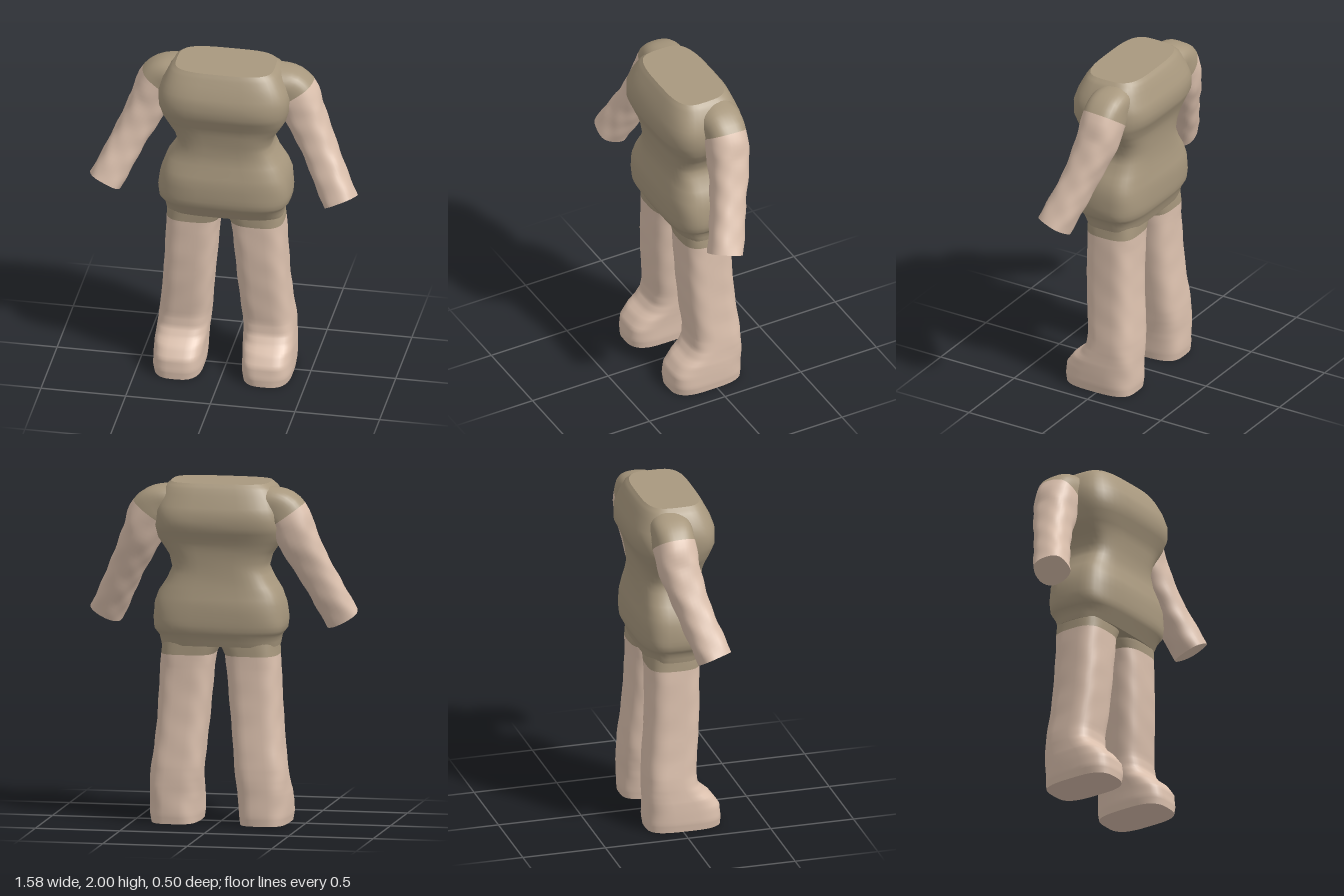
import * as THREE from 'three';

const N = 40;
const cloth = new THREE.MeshStandardMaterial({ color: 0xa8987e });
cloth.name = 'olive cloth';
const skin = new THREE.MeshStandardMaterial({ color: 0xdcc1ae });
skin.name = 'pale skin';

// point on a rounded-box outline with half sizes 1
function outline(a, n) {
  const c = Math.cos(a), s = Math.sin(a);
  return [Math.sign(c) * Math.abs(c) ** (2 / n), Math.sign(s) * Math.abs(s) ** (2 / n)];
}

// small uneven swelling of the hand-moulded surface
const lump = (a, t, amount) =>
  1 + amount * (Math.sin(3 * a + 9 * t) * Math.sin(23 * t) + 0.6 * Math.sin(5 * a - 31 * t));

// skin a list of rings (arrays of Vector3), with flat caps where asked
function loft(rings, side, capStart, capEnd) {
  const pos = [], index = [];
  const put = (p) => pos.push(p.x * side, p.y, p.z) / 3 - 1;
  const tri = (a, b, c) => (side > 0 ? index.push(a, b, c) : index.push(a, c, b));
  rings.forEach((ring) => ring.forEach(put));
  for (let i = 0; i < rings.length - 1; i++) {
    for (let j = 0; j < N; j++) {
      const k = (j + 1) % N, a = i * N + j, b = i * N + k;
      tri(a, b, a + N);
      tri(b, b + N, a + N);
    }
  }
  const cap = (ring, flip) => {
    const mid = ring.reduce((m, p) => m.add(p), new THREE.Vector3()).divideScalar(N);
    const c = put(mid), first = pos.length / 3;
    ring.forEach(put);
    for (let j = 0; j < N; j++) {
      const a = first + j, b = first + ((j + 1) % N);
      if (flip) tri(c, b, a); else tri(c, a, b);
    }
  };
  if (capStart) cap(rings[0], true);
  if (capEnd) cap(rings[rings.length - 1], false);
  const g = new THREE.BufferGeometry();
  g.setAttribute('position', new THREE.Float32BufferAttribute(pos, 3));
  g.setIndex(index);
  g.computeVertexNormals();
  return g;
}

// rings from rows of [y, xMin, xMax, zBack, zFront], top to bottom, subdivided
function stack(rows, n, amount, steps) {
  const rings = [];
  for (let i = 0; i < rows.length - 1; i++) {
    for (let s = i ? 1 : 0; s <= steps; s++) {
      const [y, x0, x1, z0, z1] = rows[i].map((v, k) => THREE.MathUtils.lerp(v, rows[i + 1][k], s / steps));
      rings.push(Array.from({ length: N }, (_, j) => {
        const a = (j / N) * Math.PI * 2, [u, w] = outline(a, n), f = lump(a, y, amount);
        return new THREE.Vector3((x0 + x1) / 2 + u * f * (x1 - x0) / 2, y, (z0 + z1) / 2 + w * f * (z1 - z0) / 2);
      }));
    }
  }
  return rings;
}

// rings square to a curve, between two fractions of its length
function sweep(curve, from, to, count, radius) {
  return Array.from({ length: count + 1 }, (_, i) => {
    const t = from + ((to - from) * i) / count;
    const c = curve.getPointAt(t), d = curve.getTangentAt(t);
    const u = new THREE.Vector3().crossVectors(d, new THREE.Vector3(0, 0, 1)).normalize();
    const v = new THREE.Vector3().crossVectors(d, u);
    return Array.from({ length: N }, (_, j) => {
      const a = (j / N) * Math.PI * 2, [p, q] = outline(a, 2.5);
      const r = radius(t) * lump(a, t, 0.022);
      return c.clone().addScaledVector(u, p * r).addScaledVector(v, q * r);
    });
  });
}

export function createModel() {
  const model = new THREE.Group();
  model.name = 'headlessFigure';
  const add = (name, geometry, material) => {
    const mesh = new THREE.Mesh(geometry, material);
    mesh.name = name;
    model.add(mesh);
  };

  // tunic: chest, waist and hips, as [y, half width, back, front]
  const torso = [
    [2.0, 0.29, -0.165, 0.17], [1.97, 0.325, -0.19, 0.19], [1.9, 0.365, -0.22, 0.225],
    [1.83, 0.385, -0.247, 0.25], [1.75, 0.385, -0.247, 0.25], [1.68, 0.365, -0.215, 0.22],
    [1.63, 0.335, -0.198, 0.2], [1.57, 0.295, -0.19, 0.19], [1.5, 0.277, -0.187, 0.182],
    [1.43, 0.31, -0.19, 0.182], [1.36, 0.355, -0.2, 0.197], [1.29, 0.38, -0.213, 0.213],
    [1.2, 0.39, -0.215, 0.215], [1.14, 0.384, -0.21, 0.21], [1.1, 0.354, -0.19, 0.187],
    [1.045, 0.344, -0.172, 0.155],
  ].map(([y, w, b, f]) => [y, -w, w, b, f]);
  add('tunic', loft(stack(torso, 3.6, 0.004, 2), 1, true, true), cloth);

  // legs with moulded feet, as [y, inner x, outer x, back, front]
  const cuff = [[1.1, 0, 0.335, -0.163, 0.145], [1.05, 0.003, 0.34, -0.165, 0.145], [0.99, 0.032, 0.345, -0.165, 0.141]];
  const leg = [
    cuff[2], [0.9, 0.044, 0.35, -0.163, 0.14], [0.75, 0.058, 0.358, -0.166, 0.137],
    [0.6, 0.072, 0.367, -0.173, 0.13], [0.45, 0.086, 0.38, -0.187, 0.118],
    [0.34, 0.096, 0.395, -0.197, 0.106], [0.27, 0.102, 0.403, -0.199, 0.115],
    [0.22, 0.107, 0.407, -0.2, 0.15], [0.18, 0.11, 0.41, -0.2, 0.2],
    [0.12, 0.113, 0.41, -0.2, 0.245], [0.05, 0.115, 0.41, -0.2, 0.255], [0, 0.122, 0.402, -0.195, 0.25],
  ];

  // arms bend down from the shoulder and reach slightly forwards
  const armPath = new THREE.CatmullRomCurve3([
    [0.26, 1.865, -0.05], [0.385, 1.835, -0.055], [0.46, 1.68, -0.04], [0.572, 1.45, 0.02], [0.695, 1.2, 0.105],
  ].map((p) => new THREE.Vector3(...p)));
  const armRadius = (t) => 0.123 - 0.023 * THREE.MathUtils.smoothstep(t, 0.2, 0.7);
  const sleeve = 0.18;

  for (const [name, side] of [['left', 1], ['right', -1]]) {
    add(name + 'LegCuff', loft(stack(cuff, 3.2, 0.008, 3), side, false, false), cloth);
    add(name + 'Leg', loft(stack(leg, 3.2, 0.008, 4), side, false, true), skin);
    add(name + 'Shoulder', loft(sweep(armPath, 0, sleeve, 8, armRadius), side, true, false), cloth);
    add(name + 'Arm', loft(sweep(armPath, sleeve, 1, 28, armRadius), side, false, true), skin);
  }
  return model;
}
